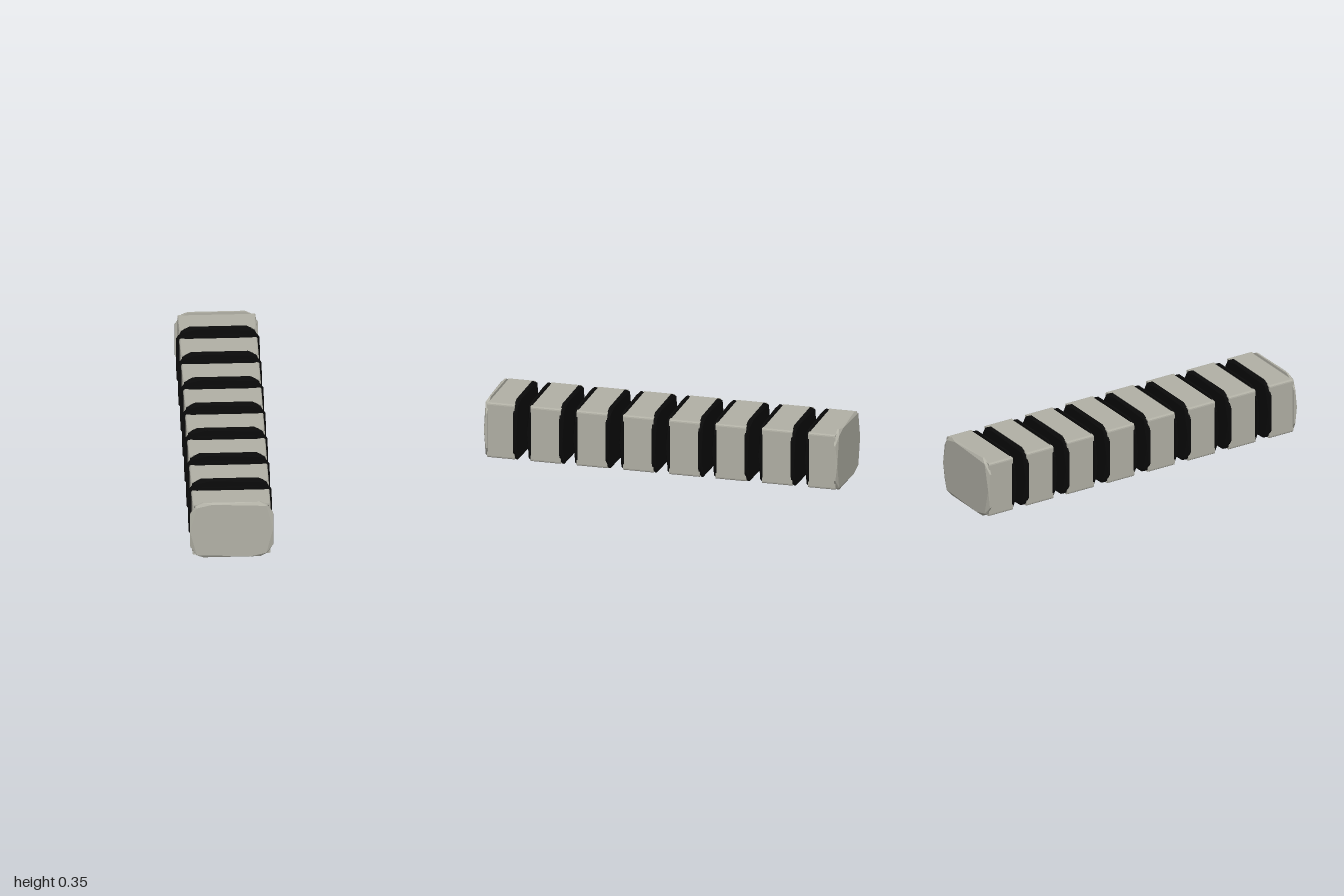
import * as THREE from 'three';
import { ConvexGeometry } from 'three/addons/geometries/ConvexGeometry.js';

const MID_Y = 0.175;

// rounded rectangle outline centred on the origin
function roundedRect(target, w, h, r) {
  target.moveTo(-w + r, -h);
  target.lineTo(w - r, -h);
  target.quadraticCurveTo(w, -h, w, -h + r);
  target.lineTo(w, h - r);
  target.quadraticCurveTo(w, h, w - r, h);
  target.lineTo(-w + r, h);
  target.quadraticCurveTo(-w, h, -w, h - r);
  target.lineTo(-w, -h + r);
  target.quadraticCurveTo(-w, -h, -w + r, -h);
  return target;
}

// open square tube along z
function sleeveGeometry(depth) {
  const shape = roundedRect(new THREE.Shape(), 0.213, 0.158, 0.012);
  shape.holes.push(roundedRect(new THREE.Path(), 0.205, 0.15, 0.008));
  const geo = new THREE.ExtrudeGeometry(shape, { depth, bevelEnabled: false, curveSegments: 3 });
  return geo.translate(0, 0, -depth / 2);
}

// faceted plate: wide rim at the base, slightly smaller flat face at z = thickness
function capGeometry(thickness) {
  const points = [];
  const rim = [[0.227, 0.1], [0.195, 0.153], [0.155, 0.174]];
  for (const [x, y] of rim) {
    for (const sx of [-1, 1]) for (const sy of [-1, 1]) {
      points.push(new THREE.Vector3(sx * x, sy * y, 0));
      points.push(new THREE.Vector3(sx * x, sy * y, thickness * 0.45));
    }
  }
  const face = [[0.226, 0.005], [0.19, 0.153], [-0.105, 0.167], [-0.19, 0.146]];
  for (const [x, y] of face) {
    points.push(new THREE.Vector3(x, y, thickness), new THREE.Vector3(-x, -y, thickness));
  }
  return new ConvexGeometry(points);
}

export function createModel() {
  const model = new THREE.Group();
  model.name = 'segmentedBar';

  const stone = new THREE.MeshStandardMaterial({ color: 0xb2b1a6 });
  stone.name = 'warm grey';
  const black = new THREE.MeshStandardMaterial({ color: 0x0a0a0a });
  black.name = 'black';

  const cap = capGeometry(0.02);
  const count = 8;
  for (let i = 0; i < count; i++) {
    const first = i === 0, last = i === count - 1;
    // the two end segments are a little shorter
    const front = first ? 1 : 0.756 - (i - 1) * 0.262;
    const back = last ? -1 : first ? 0.816 : front - 0.202;
    const length = front - back;

    const segment = new THREE.Group();
    segment.name = 'segment' + (i + 1);
    segment.position.set(0, MID_Y, (front + back) / 2);

    const sleeve = new THREE.Mesh(sleeveGeometry(length - 0.03), stone);
    sleeve.name = 'sleeve';
    segment.add(sleeve);

    // outermost plates are grey, those facing the gaps are black
    const frontCap = new THREE.Mesh(cap, first ? stone : black);
    frontCap.name = 'frontCap';
    frontCap.position.z = length / 2 - 0.02;
    const backCap = new THREE.Mesh(cap, last ? stone : black);
    backCap.name = 'backCap';
    backCap.rotation.y = Math.PI;
    backCap.position.z = -length / 2 + 0.02;
    segment.add(frontCap, backCap);

    model.add(segment);
  }
  return model;
}
